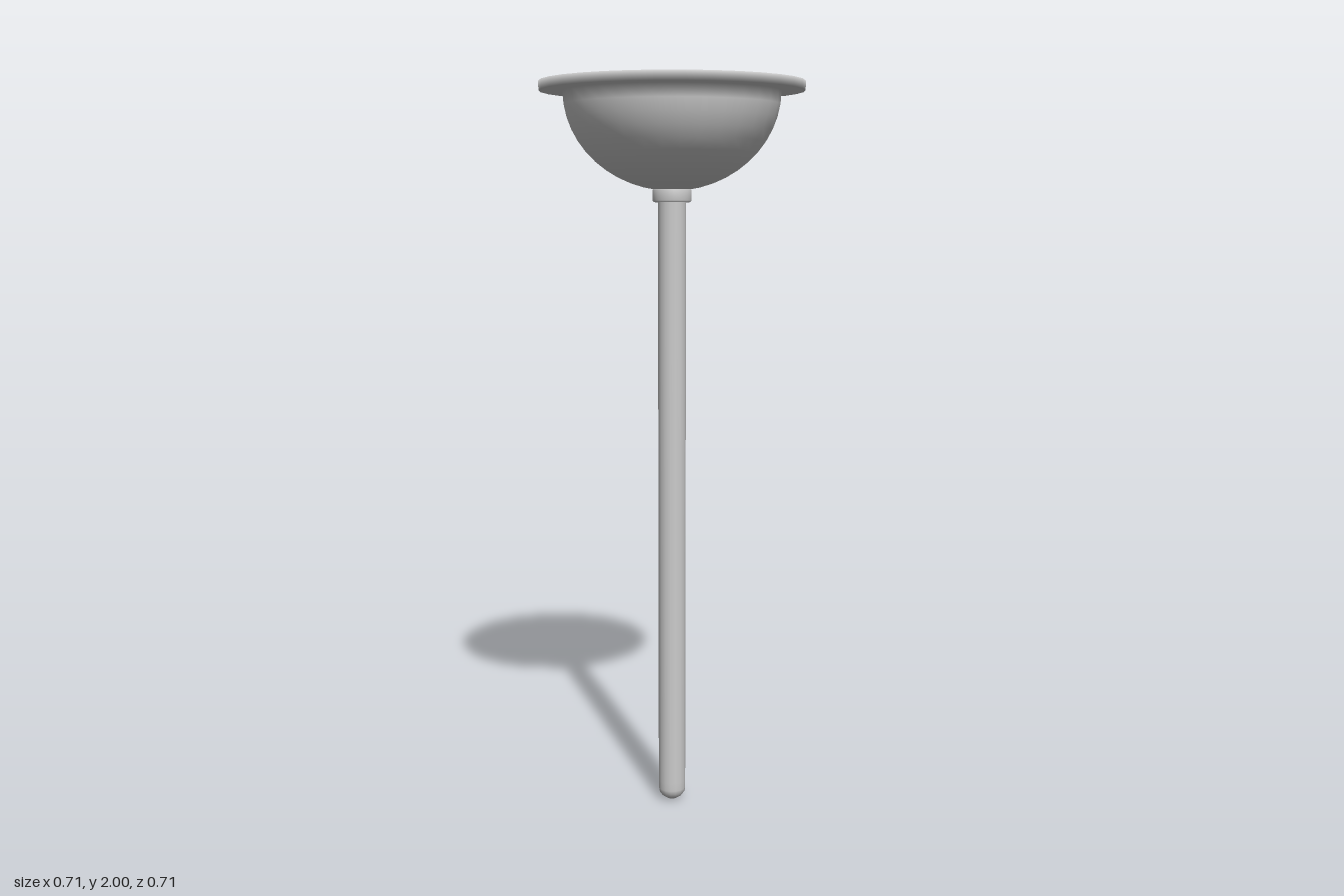
import * as THREE from 'three';

const material = new THREE.MeshStandardMaterial({ color: 0xcccccc, side: THREE.DoubleSide });

// Quarter-ellipse profile points from the axis out to the rim
function bowlArc(radius, depth, top, steps = 12) {
  const points = [];
  for (let i = 0; i <= steps; i++) {
    const a = (i / steps) * Math.PI / 2;
    points.push([radius * Math.sin(a), top - depth * Math.cos(a)]);
  }
  return points;
}

function turned(name, profile, segments) {
  const points = profile.map(([r, y]) => new THREE.Vector2(r, y));
  const mesh = new THREE.Mesh(new THREE.LatheGeometry(points, segments), material);
  mesh.name = name;
  return mesh;
}

export function createModel() {
  const model = new THREE.Group();
  model.name = 'plunger';

  // Cup: outer shell, flat flared lip, then back down the inside
  model.add(turned('cup', [
    ...bowlArc(0.29, 0.26, 1.975),
    [0.353, 1.975], [0.353, 2], [0.285, 2],
    ...bowlArc(0.278, 0.238, 1.978).reverse(),
  ], 32));

  // Collar joining the cup to the handle
  model.add(turned('collar', [
    [0, 1.685], [0.048, 1.685], [0.053, 1.69], [0.053, 1.717], [0.048, 1.722], [0, 1.725],
  ], 32));

  // Long handle with a rounded tip
  model.add(turned('handle', [
    [0, 0], [0.014, 0.005], [0.028, 0.014], [0.036, 0.025], [0.038, 0.036],
    [0.038, 0.06], [0.038, 1.69],
  ], 16));

  return model;
}
